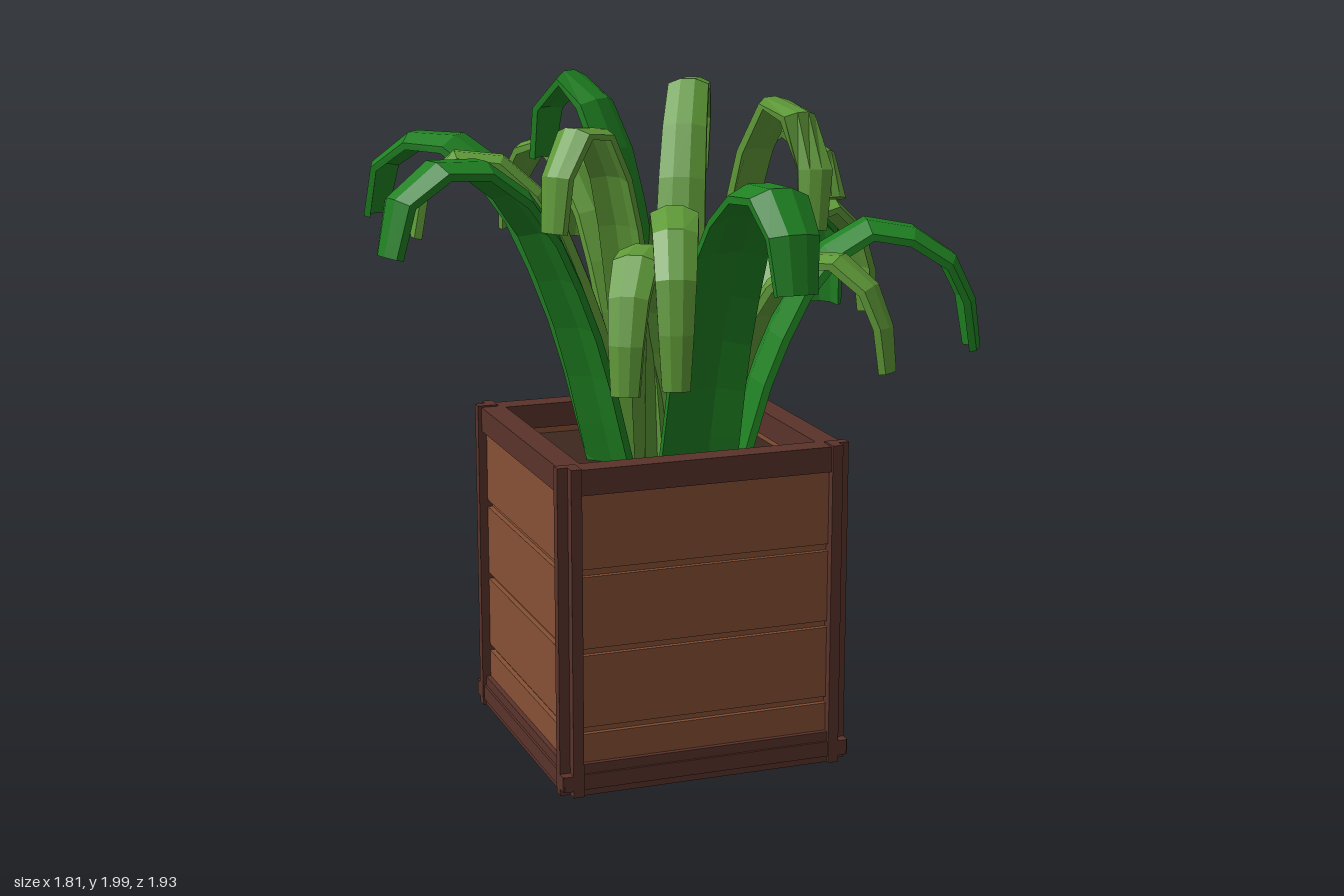
import * as THREE from 'three';

const material = (color, extra = {}) => new THREE.MeshStandardMaterial({ color, ...extra });
const frameWood = material(0x5a332b);
const boardWood = material(0x865035);
const soilBrown = material(0x3d281e);
const floorWood = material(0x6a4433);
const darkGreen = material(0x1f8022, { flatShading: true });
const lightGreen = material(0x5f9a38, { flatShading: true });

// Box given by its lower and upper limits on each axis
function block(name, mat, [x0, x1], [y0, y1], [z0, z1]) {
  const mesh = new THREE.Mesh(new THREE.BoxGeometry(x1 - x0, y1 - y0, z1 - z0), mat);
  mesh.position.set((x0 + x1) / 2, (y0 + y1) / 2, (z0 + z1) / 2);
  mesh.name = name;
  return mesh;
}

// One side of the planter, facing +z
function planterSide() {
  const side = new THREE.Group();
  side.name = 'planterSide';
  side.add(block('backing', boardWood, [-0.4, 0.4], [0.02, 0.93], [0.37, 0.402]));
  for (const y of [[0.08, 0.18], [0.2, 0.415], [0.435, 0.648], [0.67, 0.9]])
    side.add(block('board', boardWood, [-0.385, 0.385], y, [0.38, 0.417]));
  for (const s of [-1, 1]) {
    const x = [s * 0.38, s * 0.412].sort((a, b) => a - b);
    side.add(block('cornerTrim', frameWood, x, [0, 0.97], [0.38, 0.443]));
  }
  side.add(block('topRail', frameWood, [-0.385, 0.385], [0.89, 0.965], [0.36, 0.432]));
  side.add(block('bottomRail', frameWood, [-0.385, 0.385], [0, 0.095], [0.395, 0.432]));
  side.add(block('bottomLap', frameWood, [-0.443, 0.443], [0.02, 0.066], [0.4, 0.439]));
  return side;
}

// Thick, folded strip swept along an arching curve
function leafGeometry(curve, width, rings = 10) {
  const positions = [], index = [];
  const section = [-1, -0.35, 0.35, 1];
  const thickness = 0.022;
  for (let k = 0; k <= rings; k++) {
    const f = k / rings;
    const p = curve.getPointAt(f), t = curve.getTangentAt(f);
    const side = new THREE.Vector3(t.z, 0, -t.x).normalize();
    const up = new THREE.Vector3().crossVectors(t, side).normalize();
    const half = width * 0.5 * (1 - 0.12 * f - 0.4 * f ** 3);
    const put = (u, low) => {
      const drop = (Math.abs(u) === 1 ? -0.32 * half : 0) - low;
      const v = p.clone().addScaledVector(side, u * half).addScaledVector(up, drop);
      positions.push(v.x, v.y, v.z);
    };
    section.forEach(u => put(u, 0));
    section.forEach(u => put(-u, thickness));
  }
  for (let k = 0; k < rings; k++)
    for (let i = 0; i < 8; i++) {
      const a = k * 8 + i, b = k * 8 + (i + 1) % 8;
      index.push(a, a + 8, b, b, a + 8, b + 8);
    }
  const e = rings * 8;
  for (let i = 0; i < 3; i++) {
    index.push(i, i + 1, 6 - i, i, 6 - i, 7 - i);
    index.push(e + i, e + 6 - i, e + i + 1, e + i, e + 7 - i, e + 6 - i);
  }
  const geometry = new THREE.BufferGeometry();
  geometry.setAttribute('position', new THREE.Float32BufferAttribute(positions, 3));
  geometry.setIndex(index);
  const flat = geometry.toNonIndexed();
  flat.computeVertexNormals();
  return flat;
}

// Leaf from the soil over a peak to its tip; bend shifts the arch sideways
function leaf(name, mat, width, root, [tipX, tipZ, tipY, peakY, peak, bend = 0]) {
  const cx = 0.02, cz = 0.03, y0 = 0.84;
  const dx = tipX - cx, dz = tipZ - cz, reach = Math.hypot(dx, dz);
  const ux = dx / reach, uz = dz / reach;
  const rp = peak * reach, h = peakY - y0, drop = peakY - tipY;
  const path = [
    [root, y0],
    [root + 0.25 * (rp - root), y0 + 0.5 * h],
    [root + 0.6 * (rp - root), y0 + 0.87 * h],
    [rp, peakY],
    [rp + 0.82 * (reach - rp), peakY - 0.36 * drop],
    [reach, tipY],
  ].map(([r, y], i) => {
    const b = bend * Math.sin((Math.PI * i) / 5);
    return new THREE.Vector3(cx + ux * r + uz * b, y, cz + uz * r - ux * b);
  });
  const mesh = new THREE.Mesh(leafGeometry(new THREE.CatmullRomCurve3(path), width), mat);
  mesh.name = name;
  return mesh;
}

export function createModel() {
  const model = new THREE.Group();
  model.name = 'pottedPlant';

  // Square wooden planter
  const planter = new THREE.Group();
  planter.name = 'planter';
  for (let i = 0; i < 4; i++) {
    const side = planterSide();
    side.rotation.y = (i * Math.PI) / 2;
    planter.add(side);
  }
  planter.add(block('soil', soilBrown, [-0.375, 0.375], [0.8, 0.87], [-0.375, 0.375]));
  planter.add(block('floor', floorWood, [-0.38, 0.38], [0.05, 0.09], [-0.38, 0.38]));
  planter.position.set(-0.01, 0, -0.015);
  model.add(planter);

  // Leaves: tip x, tip z, tip height, peak height, peak position, sideways bend
  const broad = [
    [0.03, 0.965, 1.53, 1.805, 0.79],
    [-0.9, 0.25, 1.57, 1.83, 0.75],
    [0.9, 0.29, 1.2, 1.59, 0.66],
    [0.77, -0.52, 1.2, 1.58, 0.69],
    [-0.72, -0.65, 1.55, 1.82, 0.76],
  ];
  const narrow = [
    [0.03, -0.965, 1.39, 1.63, 0.74],
    [-0.26, -0.72, 1.47, 1.79, 0.72],
    [0.36, -0.65, 1.64, 1.97, 0.7],
    [0.72, -0.07, 1.25, 1.62, 0.73],
    [0.51, 0.53, 1.2, 1.54, 0.69],
    [0.25, 0.54, 1.62, 2, 0.72, 0.04],
    [0.45, 0.24, 1.66, 1.87, 0.6, 0.1],
    [-0.19, 0.64, 1.22, 1.7, 0.66],
    [-0.33, 0.61, 1.21, 1.6, 0.68],
    [-0.45, 0.34, 1.62, 1.93, 0.7],
    [-0.71, -0.17, 1.55, 1.81, 0.75],
  ];
  const foliage = new THREE.Group();
  foliage.name = 'foliage';
  for (const spec of broad) foliage.add(leaf('broadLeaf', darkGreen, 0.24, 0.15, spec));
  for (const spec of narrow) foliage.add(leaf('narrowLeaf', lightGreen, 0.16, 0.09, spec));
  foliage.add(leaf('centreLeaf', darkGreen, 0.19, 0.01, [-0.25, -0.42, 1.73, 2, 0.68]));
  model.add(foliage);

  return model;
}
